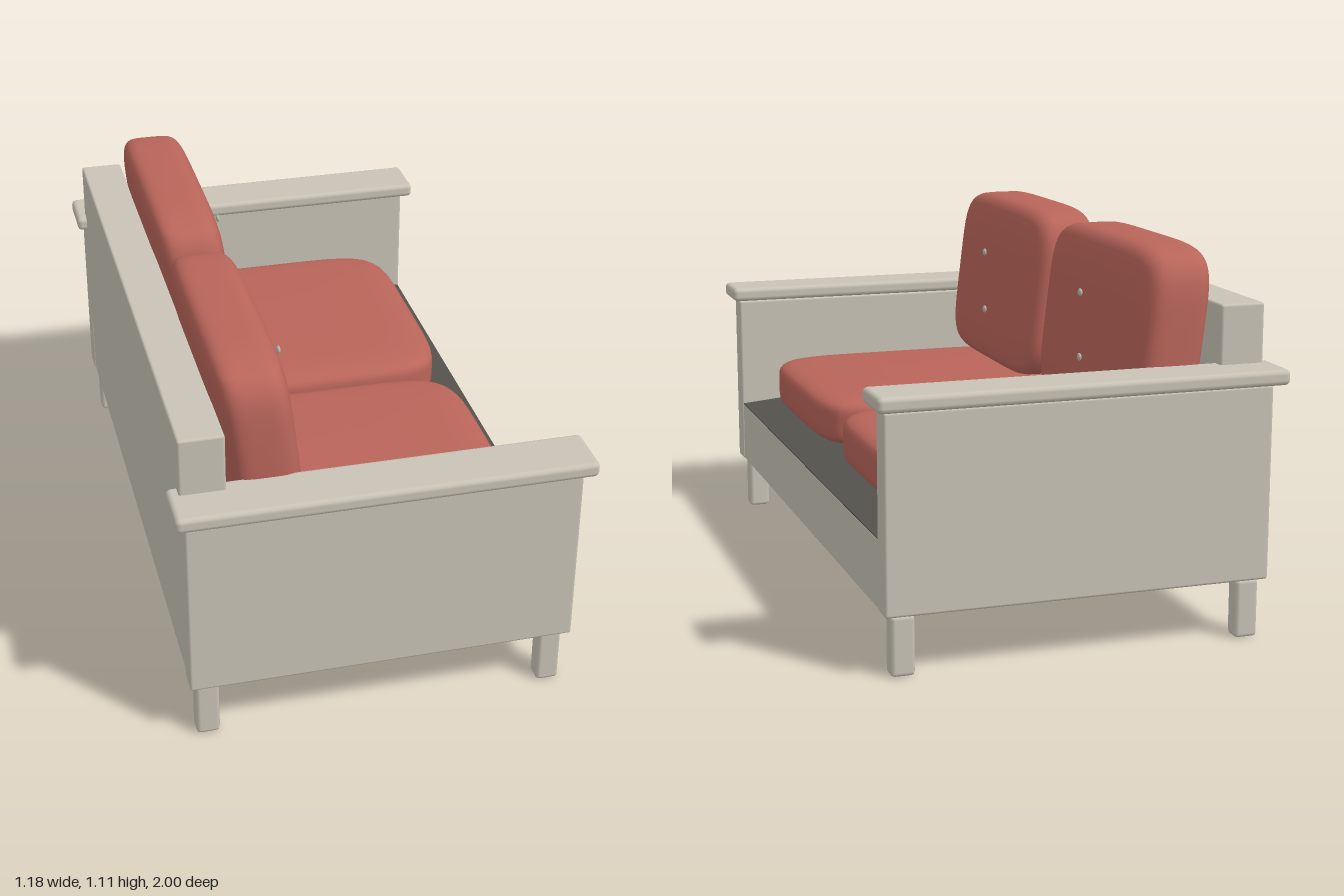
import * as THREE from 'three';
import { mergeVertices } from 'three/addons/utils/BufferGeometryUtils.js';
import { RoundedBoxGeometry } from 'three/addons/geometries/RoundedBoxGeometry.js';

function material(name, color) {
  const m = new THREE.MeshStandardMaterial({ color });
  m.name = name;
  return m;
}

// Soft pillow: a cube rounded into a superellipsoid, then leaned back along x
function cushionGeometry(w, h, d, power, lean = 0) {
  let g = new THREE.BoxGeometry(2, 2, 2, 18, 18, 18);
  g.deleteAttribute('normal');
  g.deleteAttribute('uv');
  g = mergeVertices(g);
  const p = g.attributes.position;
  const v = new THREE.Vector3();
  for (let i = 0; i < p.count; i++) {
    v.fromBufferAttribute(p, i);
    // crowd the grid towards the rounded edges
    v.set(...v.toArray().map((c) => Math.sin((c * Math.PI) / 2)));
    const sum = v.toArray().reduce((s, c) => s + Math.abs(c) ** power, 0);
    v.multiplyScalar(sum ** (-1 / power));
    v.set((v.x * w) / 2, (v.y * h) / 2, (v.z * d) / 2);
    p.setXYZ(i, v.x - lean * v.y, v.y, v.z);
  }
  g.computeVertexNormals();
  return g;
}

export function createModel() {
  const group = new THREE.Group();
  const fabric = material('stone fabric', 0xc9c3b6);
  const red = material('red fabric', 0xb9655a);
  const dark = material('dark lining', 0x55524c);
  const metal = material('button metal', 0xb4bab2);

  function add(name, geometry, mat, x, y, z) {
    const mesh = new THREE.Mesh(geometry, mat);
    mesh.name = name;
    mesh.position.set(x, y, z);
    group.add(mesh);
    return mesh;
  }
  // Box with softened edges given by its limits on each axis
  function block(name, [x0, x1], [y0, y1], [z0, z1], r = 0.008) {
    const g = new RoundedBoxGeometry(x1 - x0, y1 - y0, z1 - z0, 2, r);
    return add(name, g, fabric, (x0 + x1) / 2, (y0 + y1) / 2, (z0 + z1) / 2);
  }

  // Frame
  block('base', [-0.555, 0.555], [0.175, 0.37], [-0.885, 0.885], 0.004);
  block('backrest', [-0.56, -0.43], [0.37, 0.955], [-0.883, 0.883]);

  // Lining under the cushions, rising slightly towards the backrest
  const run = 0.985, rise = 0.088;
  const deck = add('seatDeck', new THREE.BoxGeometry(Math.hypot(run, rise), 0.004, 1.75),
    dark, 0.0625, 0.416, 0);
  deck.rotation.z = -Math.atan2(rise, run);

  const seat = cushionGeometry(0.9, 0.165, 0.83, 6);
  const back = cushionGeometry(0.215, 0.545, 0.83, 5.5, 0.12);
  const button = new THREE.SphereGeometry(0.012, 12, 8).scale(0.5, 1, 1);
  const leg = new RoundedBoxGeometry(0.068, 0.172, 0.06, 1, 0.012);

  for (const s of [1, -1]) {
    // Arms
    block('armPanel', [-0.56, 0.56], [0.175, 0.735], s > 0 ? [0.878, 0.955] : [-0.955, -0.878]);
    block('armRest', [-0.59, 0.587], [0.74, 0.785], s > 0 ? [0.835, 1] : [-1, -0.835], 0.015);

    // Legs
    for (const x of [-0.508, 0.505]) add('leg', leg, fabric, x, 0.086, s * 0.905);

    // Cushions and their buttons
    add('seatCushion', seat, red, 0.02, 0.468, s * 0.435);
    add('backCushion', back, red, -0.312, 0.834, s * 0.438);
    for (const y of [0.74, 0.933]) add('button', button, metal, -0.185, y, s * 0.437);
  }
  return group;
}
